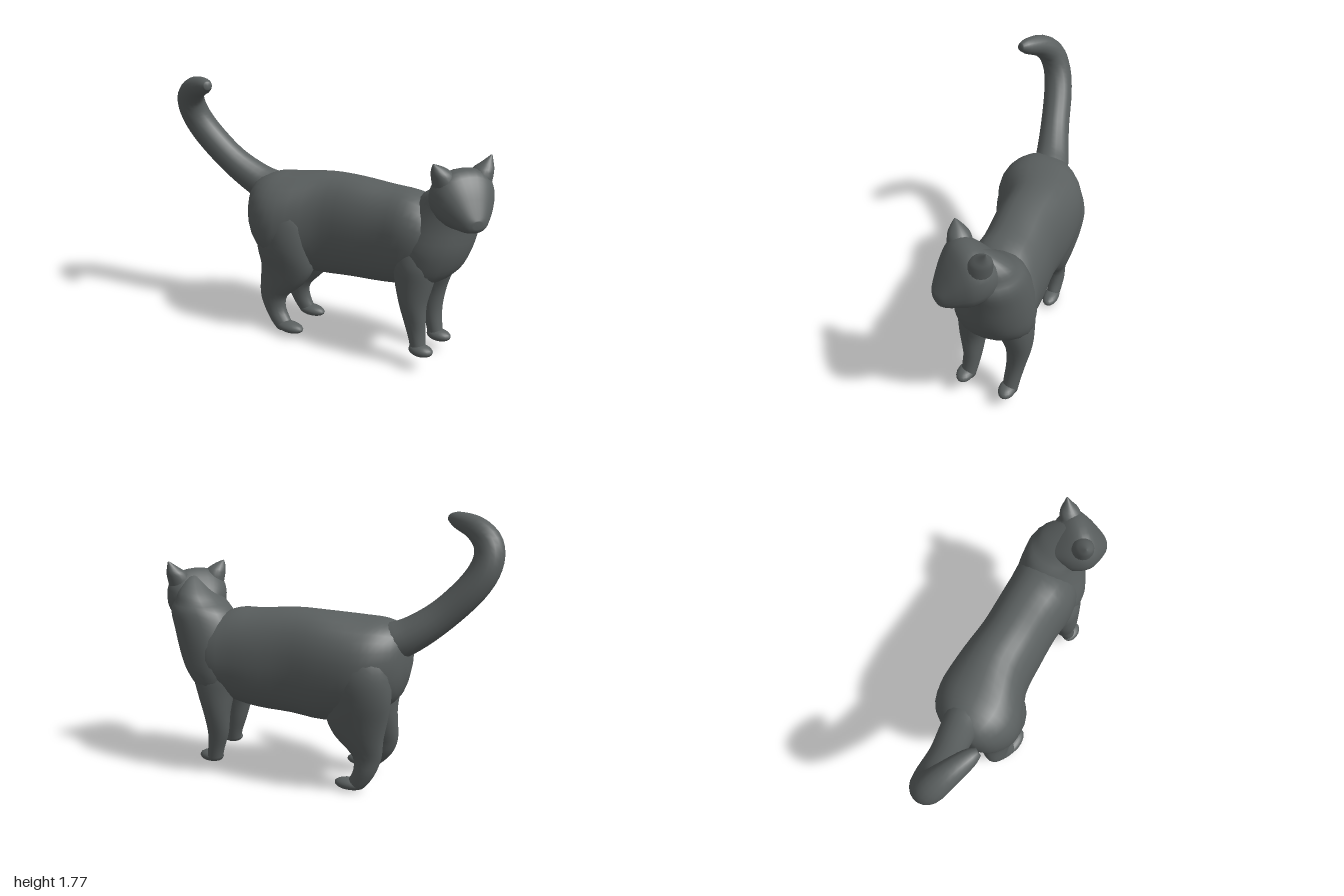
import * as THREE from 'three';

const V = (x, y, z) => new THREE.Vector3(x, y, z);
const UP = V(0, 1, 0);
const BODY = V(0.85, 0, 0.53).normalize(); // direction the body points
const FACE = V(0.29, 0, 0.95).normalize(); // direction the head looks
const side = (d) => V(-d.z, 0, d.x);

// Catmull-Rom interpolation of rows of numbers
function refine(rows, steps) {
  const out = [];
  const last = rows.length - 1;
  for (let i = 0; i < last; i++) {
    const [p, a, b, n] = [i - 1, i, i + 1, i + 2].map((k) => rows[Math.min(Math.max(k, 0), last)]);
    for (let s = 0; s < steps; s++) {
      const t = s / steps;
      out.push(a.map((_, k) => 0.5 * (2 * a[k] + (b[k] - p[k]) * t
        + (2 * p[k] - 5 * a[k] + 4 * b[k] - n[k]) * t * t
        + (3 * a[k] - p[k] - 3 * b[k] + n[k]) * t * t * t)));
    }
  }
  out.push(rows[last]);
  return out;
}

// Skin over rings { c, u, v }, closed at both ends; rings advance along u x v
function loft(rings, segs = 24, power = 1) {
  const pos = [], idx = [];
  const bulge = (n) => Math.sign(n) * Math.abs(n) ** power;
  const first = rings[0], end = rings[rings.length - 1];
  const all = [{ c: first.c, u: V(0, 0, 0), v: V(0, 0, 0) }, ...rings, { c: end.c, u: V(0, 0, 0), v: V(0, 0, 0) }];
  all.forEach(({ c, u, v }, i) => {
    for (let j = 0; j < segs; j++) {
      const a = (j / segs) * Math.PI * 2;
      const p = c.clone().addScaledVector(u, bulge(Math.cos(a))).addScaledVector(v, bulge(Math.sin(a)));
      pos.push(p.x, p.y, p.z);
      if (i === all.length - 1) continue;
      const k = i * segs, n = (j + 1) % segs;
      idx.push(k + j, k + n, k + segs + j, k + n, k + segs + n, k + segs + j);
    }
  });
  const g = new THREE.BufferGeometry();
  g.setAttribute('position', new THREE.Float32BufferAttribute(pos, 3));
  g.setIndex(idx);
  g.computeVertexNormals();
  return g;
}

// Upright rings along dir: [x, z, top, bottom, halfWidth]
const alongLoft = (rows, dir, power) => loft(refine(rows, 3).map(([x, z, t, b, w]) => ({
  c: V(x, (t + b) / 2, z),
  u: UP.clone().multiplyScalar(Math.max((t - b) / 2, 0)),
  v: side(dir).multiplyScalar(Math.max(w, 0)),
})), 28, power);

// Level rings listed from top to bottom: [y, x, z, halfLength, halfWidth]
const downLoft = (rows, dir) => loft(refine(rows, 3).map(([y, x, z, l, w]) => ({
  c: V(x, y, z),
  u: dir.clone().multiplyScalar(Math.max(l, 0)),
  v: side(dir).multiplyScalar(Math.max(w, 0)),
})), 20);

export function createModel() {
  const group = new THREE.Group();
  const fur = new THREE.MeshStandardMaterial({ color: 0x5a5f5f });
  fur.name = 'grey fur';
  const add = (name, geometry) => {
    const m = new THREE.Mesh(geometry, fur);
    m.name = name;
    group.add(m);
    return m;
  };

  // Torso from rump to breast
  add('torso', alongLoft([
    [-0.475, -0.36, 1.0, 0.8, 0.08],
    [-0.43, -0.34, 1.08, 0.64, 0.19],
    [-0.33, -0.29, 1.125, 0.54, 0.28],
    [-0.2, -0.235, 1.14, 0.48, 0.305],
    [0.02, -0.155, 1.165, 0.45, 0.25],
    [0.21, -0.04, 1.17, 0.47, 0.23],
    [0.41, 0.07, 1.15, 0.485, 0.23],
    [0.55, 0.16, 1.14, 0.52, 0.24],
    [0.68, 0.22, 1.08, 0.59, 0.23],
    [0.78, 0.28, 0.98, 0.66, 0.15],
    [0.82, 0.3, 0.9, 0.73, 0.06],
  ], BODY, 0.9));

  // Neck sloping down into the chest
  add('neckAndChest', downLoft([
    [1.345, 0.8, 0.385, 0.03, 0.05],
    [1.31, 0.8, 0.365, 0.06, 0.105],
    [1.24, 0.795, 0.325, 0.115, 0.165],
    [1.18, 0.785, 0.295, 0.157, 0.182],
    [1.12, 0.775, 0.26, 0.205, 0.19],
    [1.0, 0.735, 0.24, 0.225, 0.215],
    [0.85, 0.69, 0.235, 0.24, 0.245],
    [0.72, 0.67, 0.225, 0.215, 0.245],
    [0.63, 0.655, 0.22, 0.16, 0.22],
    [0.58, 0.65, 0.22, 0.08, 0.14],
  ], BODY));

  // Head from the nape to the muzzle: [distance forward, top, bottom, halfWidth]
  const headAt = (t) => [0.79 + FACE.x * t, 0.37 + FACE.z * t];
  add('head', alongLoft([
    [-0.16, 1.22, 1.12, 0.08],
    [-0.09, 1.295, 1.06, 0.16],
    [0.0, 1.365, 1.03, 0.2],
    [0.08, 1.355, 1.01, 0.19],
    [0.14, 1.285, 1.015, 0.15],
    [0.19, 1.2, 1.02, 0.105],
    [0.225, 1.135, 1.035, 0.065],
    [0.238, 1.11, 1.06, 0.03],
  ].map(([t, ...r]) => [...headAt(t), ...r]), FACE, 0.85));

  // Pointed ears, broad where they leave the skull
  for (const [name, s, tipY] of [['leftEar', 1, 1.43], ['rightEar', -1, 1.41]]) {
    const ear = (y, out, f, l, w) => {
      const [x, z] = headAt(f);
      return [y, x + FACE.z * out * s, z - FACE.x * out * s, l, w];
    };
    add(name, downLoft([
      ear(tipY, 0.19, 0.01, 0.004, 0.005),
      ear(1.385, 0.162, 0.012, 0.033, 0.04),
      ear(1.34, 0.133, 0.015, 0.066, 0.07),
      ear(1.25, 0.105, 0.02, 0.08, 0.08),
    ], FACE));
  }

  // Legs: rings from the shoulder or hip down to the ankle
  add('leftFrontLeg', downLoft([
    [0.88, 0.71, 0.14, 0.1, 0.08], [0.74, 0.71, 0.125, 0.16, 0.12],
    [0.6, 0.715, 0.11, 0.13, 0.11], [0.45, 0.715, 0.093, 0.092, 0.083],
    [0.3, 0.71, 0.107, 0.072, 0.063], [0.18, 0.725, 0.135, 0.057, 0.055],
    [0.09, 0.74, 0.155, 0.055, 0.05],
  ], BODY));
  add('rightFrontLeg', downLoft([
    [0.88, 0.56, 0.3, 0.1, 0.08], [0.74, 0.55, 0.32, 0.145, 0.115],
    [0.6, 0.545, 0.33, 0.13, 0.11], [0.45, 0.54, 0.35, 0.092, 0.087],
    [0.3, 0.56, 0.36, 0.07, 0.063], [0.2, 0.575, 0.38, 0.055, 0.055],
    [0.12, 0.585, 0.4, 0.053, 0.05],
  ], BODY));
  add('rightHindLeg', downLoft([
    [1.05, -0.26, -0.16, 0.1, 0.09], [0.93, -0.27, -0.12, 0.17, 0.13], [0.8, -0.28, -0.115, 0.2, 0.155],
    [0.65, -0.28, -0.115, 0.21, 0.152], [0.5, -0.27, -0.125, 0.2, 0.13],
    [0.38, -0.31, -0.135, 0.163, 0.1], [0.27, -0.367, -0.15, 0.104, 0.071],
    [0.17, -0.36, -0.135, 0.082, 0.06], [0.09, -0.32, -0.085, 0.08, 0.052],
    [0.045, -0.3, -0.06, 0.06, 0.045],
  ], BODY));
  add('leftHindLeg', downLoft([
    [1.05, -0.15, -0.33, 0.1, 0.09], [0.93, -0.15, -0.36, 0.17, 0.14], [0.8, -0.14, -0.38, 0.2, 0.152],
    [0.65, -0.135, -0.375, 0.21, 0.142], [0.5, -0.13, -0.355, 0.2, 0.122],
    [0.38, -0.145, -0.36, 0.162, 0.092], [0.25, -0.195, -0.375, 0.098, 0.066],
    [0.15, -0.183, -0.375, 0.076, 0.058], [0.07, -0.15, -0.355, 0.07, 0.05],
    [0.025, -0.13, -0.34, 0.055, 0.045],
  ], BODY));

  // Paws pointing along the body
  for (const [name, x, y, z, len] of [
    ['leftFrontPaw', 0.755, 0.108, 0.175, 0.085], ['rightFrontPaw', 0.595, 0.14, 0.42, 0.083],
    ['rightHindPaw', -0.26, 0.068, -0.03, 0.108], ['leftHindPaw', -0.1, 0.042, -0.32, 0.105],
  ]) {
    const paw = add(name, new THREE.SphereGeometry(1, 18, 12));
    paw.scale.set(len, 0.04, 0.056);
    paw.rotation.y = -Math.atan2(BODY.z, BODY.x);
    paw.position.set(x, y, z);
  }

  // Tail curving up and forward: [x, y, z, radius]
  const tail = refine([
    [-0.22, 0.95, -0.29, 0.1], [-0.34, 0.985, -0.335, 0.125], [-0.47, 1.045, -0.385, 0.113],
    [-0.64, 1.17, -0.44, 0.1], [-0.8, 1.34, -0.495, 0.098],
    [-0.885, 1.48, -0.505, 0.095], [-0.905, 1.6, -0.465, 0.09],
    [-0.86, 1.685, -0.375, 0.075], [-0.785, 1.725, -0.26, 0.052],
    [-0.755, 1.735, -0.21, 0.025],
  ], 4);
  add('tail', loft(tail.map(([x, y, z, r], i) => {
    const a = tail[Math.max(i - 1, 0)], b = tail[Math.min(i + 1, tail.length - 1)];
    const along = V(b[0] - a[0], b[1] - a[1], b[2] - a[2]).normalize();
    const u = V(0.53, 0, -0.85).cross(along).normalize();
    return { c: V(x, y, z), u: u.clone().multiplyScalar(r), v: along.clone().cross(u).multiplyScalar(r) };
  }), 18));

  return group;
}
